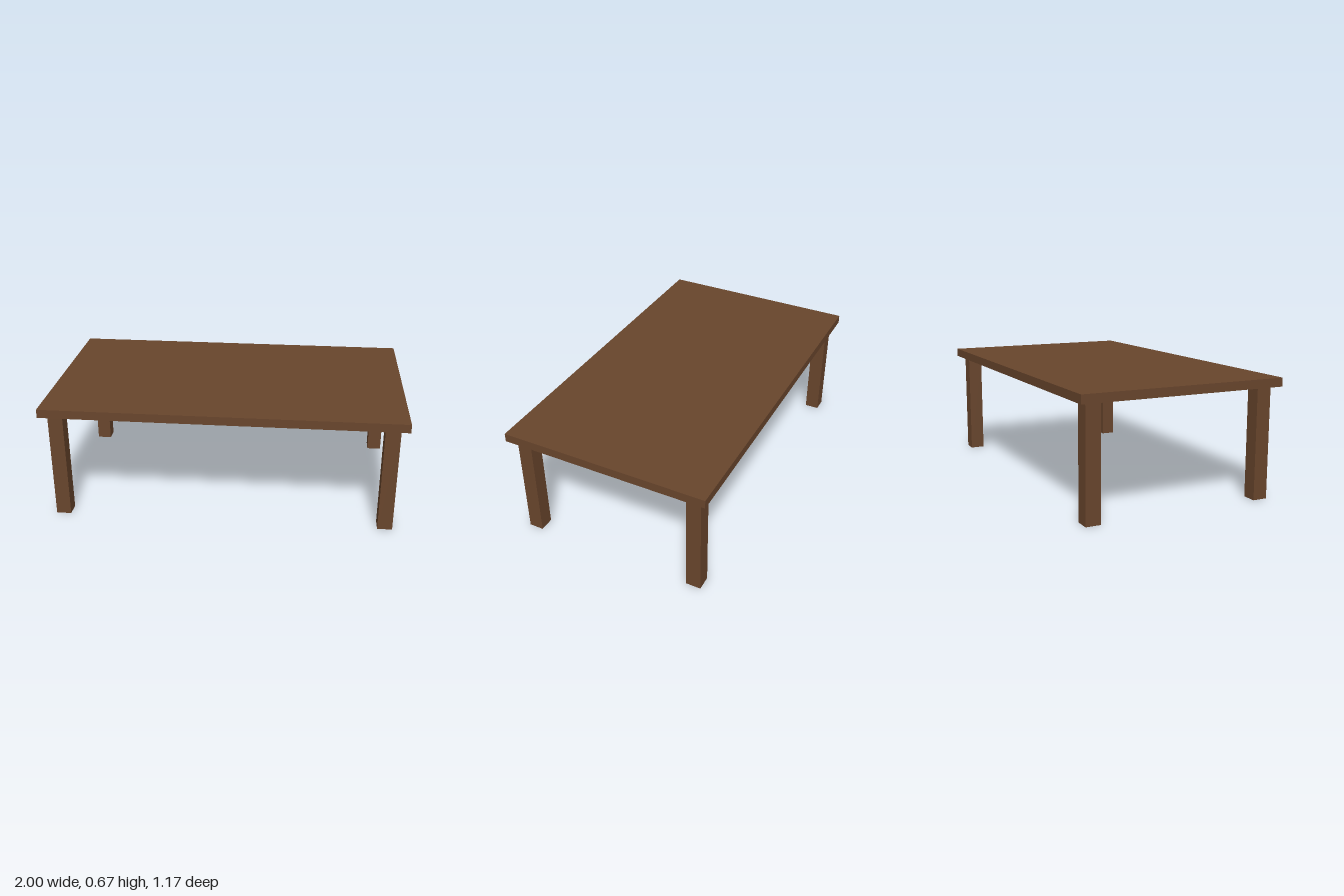
import * as THREE from 'three';

export function createModel() {
  const model = new THREE.Group();
  model.name = 'table';

  const wood = new THREE.MeshStandardMaterial({ color: 0x68452c });
  wood.name = 'dark brown wood';

  const height = 0.667, thickness = 0.048;
  const legHeight = height - thickness;

  const addBox = (name, size, position) => {
    const mesh = new THREE.Mesh(new THREE.BoxGeometry(...size), wood);
    mesh.name = name;
    mesh.position.set(...position);
    model.add(mesh);
  };

  // Flat slab top
  addBox('tabletop', [2, thickness, 1.167], [0, height - thickness / 2, 0]);

  // Four square legs, set in slightly from the corners
  for (const [side, x] of [['Left', 0.915], ['Right', -0.915]]) {
    for (const [end, z] of [['front', 0.5], ['back', -0.5]]) {
      addBox(`${end}${side}Leg`, [0.083, legHeight, 0.083], [x, legHeight / 2, z]);
    }
  }

  return model;
}
